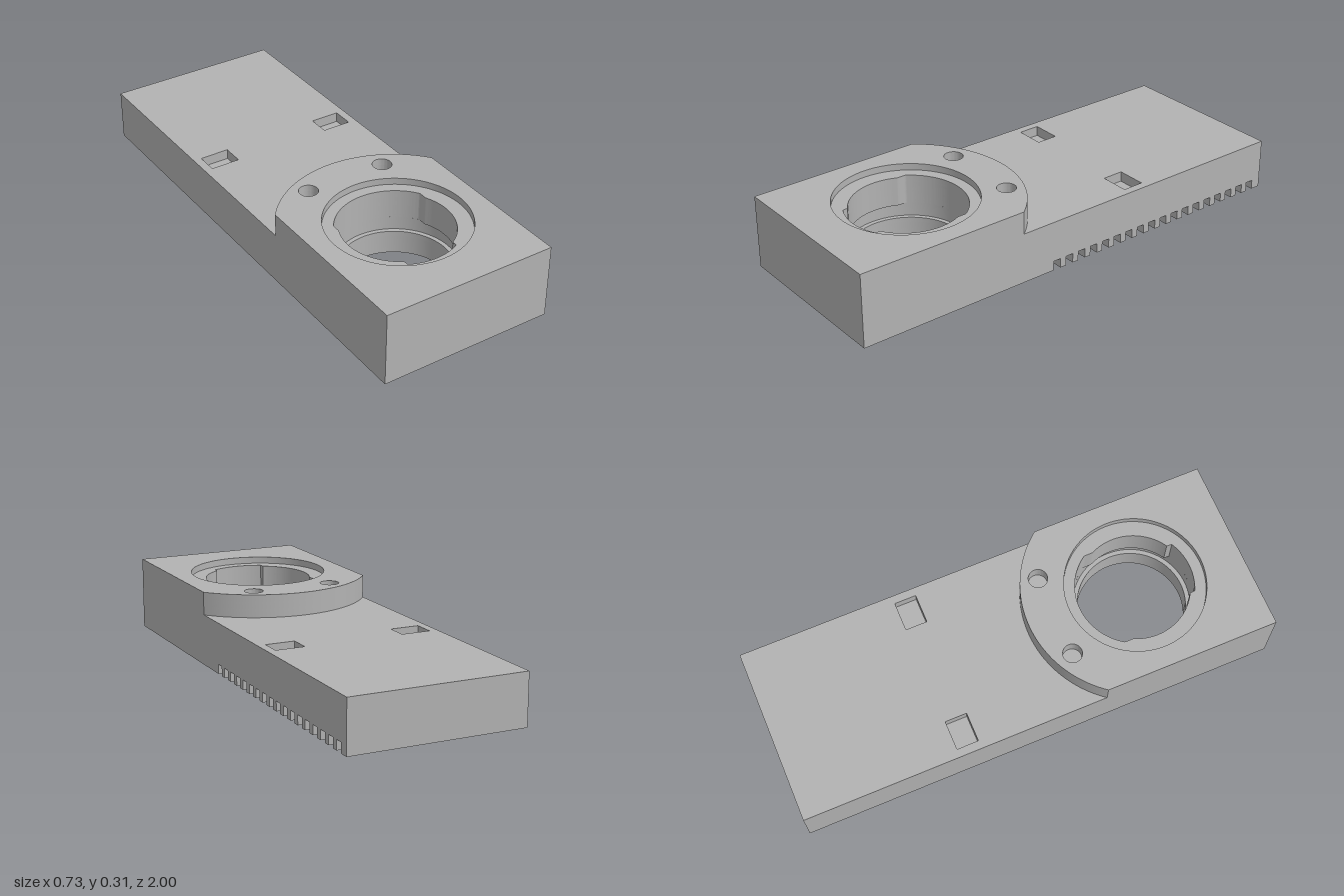
import * as THREE from 'three';
import { toCreasedNormals } from 'three/addons/utils/BufferGeometryUtils.js';

// Plan coordinates: u = x, v = -z
const W = 0.365, L = 1;          // half width, half length
const WALL = 0.06;               // rim thickness
const CV = -0.555;               // bore centre
const BORE = 0.222, GROOVE = 0.24, COUNTERBORE = 0.285, BOSS = 0.46;

const points = (pairs) => pairs.map(([u, v]) => new THREE.Vector2(u, v));

const rect = (u0, v0, u1, v1) => points([[u0, v0], [u1, v0], [u1, v1], [u0, v1]]);

function circle(u, v, r, n = 96) {
  return Array.from({ length: n }, (_, i) => {
    const a = (i / n) * Math.PI * 2;
    return new THREE.Vector2(u + r * Math.cos(a), v + r * Math.sin(a));
  });
}

// Bore with a wide lobe toward the back and a narrow one toward the front
function bayonet() {
  return Array.from({ length: 360 }, (_, i) => {
    const a = (i / 360) * Math.PI * 2;
    const half = Math.sin(a) > 0 ? 0.2 : 0.11;
    const r = Math.max(BORE, Math.min(GROOVE, half / Math.max(Math.abs(Math.cos(a)), 1e-4)));
    return new THREE.Vector2(r * Math.cos(a), CV + r * Math.sin(a));
  });
}

// Raised front plate: straight sides closed by an arc around the bore
function bossOutline() {
  const a0 = Math.acos(W / BOSS), n = 64;
  const out = points([[-W, -L], [W, -L]]);
  for (let i = 0; i <= n; i++) {
    const a = a0 + (Math.PI - 2 * a0) * (i / n);
    out.push(new THREE.Vector2(BOSS * Math.cos(a), CV + BOSS * Math.sin(a)));
  }
  return out;
}

export function createModel() {
  const model = new THREE.Group();
  const grey = new THREE.MeshStandardMaterial({ color: 0xb2b2b2 });
  grey.name = 'grey';

  // Horizontal slab between two heights
  function slab(name, y0, y1, outlines, holes = []) {
    const shapes = outlines.map((o) => new THREE.Shape(o));
    shapes[0].holes = holes.map((h) => new THREE.Path(h));
    let geo = new THREE.ExtrudeGeometry(shapes, { depth: y1 - y0, bevelEnabled: false });
    geo.rotateX(-Math.PI / 2);
    geo.translate(0, y0, 0);
    geo = toCreasedNormals(geo, 0.4);
    const mesh = new THREE.Mesh(geo, grey);
    mesh.name = name;
    model.add(mesh);
  }

  const full = rect(-W, -L, W, L);
  const iu = W - WALL, iv = L - WALL;

  // Lower rim, with a row of slots through the left wall
  const first = -0.128, pitch = 0.0619, slot = 0.034, count = 18;
  const last = first + pitch * (count - 1) + slot;
  const rim = points([
    [-W, -L], [W, -L], [W, first], [iu, first], [iu, -iv], [-iu, -iv],
    [-iu, iv], [iu, iv], [iu, last], [W, last], [W, L], [-W, L],
  ]);
  const teeth = [];
  for (let i = 0; i < count - 1; i++) {
    const v = first + pitch * i;
    teeth.push(rect(iu, v + slot, W, v + pitch));
  }
  slab('slottedRim', 0, 0.04, [rim, ...teeth]);
  slab('upperRim', 0.04, 0.08, [full], [rect(-iu, -iv, iu, iv)]);

  // Collar hanging in the underside cavity
  slab('boreCollar', 0, 0.08, [circle(0, CV, 0.286)], [circle(0, CV, BORE)]);

  // Body deck, with the locking groove below the bayonet lip
  const pockets = [-1, 1].map((s) => rect(s * 0.27 - 0.061, 0.26, s * 0.27 + 0.061, 0.35));
  slab('grooveFloor', 0.08, 0.1, [full], [circle(0, CV, BORE)]);
  slab('lockingGroove', 0.1, 0.157, [full], [circle(0, CV, GROOVE)]);
  slab('bayonetLip', 0.157, 0.17, [full], [bayonet()]);
  slab('pocketedDeck', 0.17, 0.212, [full], [bayonet(), ...pockets]);

  // Raised plate with pin holes and counterbore
  const pins = [-1, 1].map((s) => circle(s * 0.172, -0.207, 0.039, 40));
  slab('raisedPlateBase', 0.212, 0.25, [bossOutline()], [bayonet()]);
  slab('raisedPlate', 0.25, 0.279, [bossOutline()], [bayonet(), ...pins]);
  slab('counterborePlate', 0.279, 0.307, [bossOutline()], [circle(0, CV, COUNTERBORE), ...pins]);

  return model;
}
